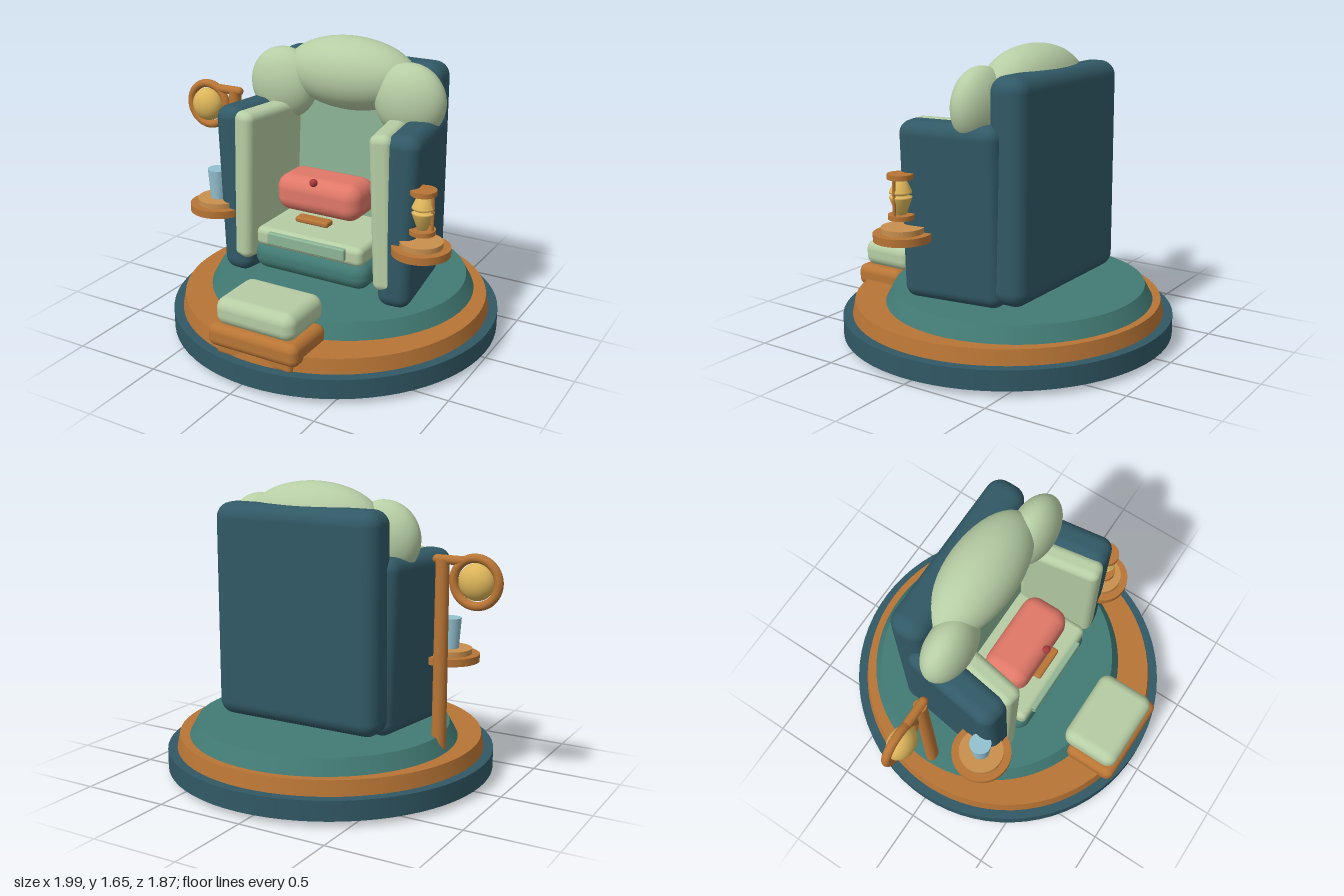
import * as THREE from 'three';
import { RoundedBoxGeometry } from 'three/addons/geometries/RoundedBoxGeometry.js';

const mat = (color) => new THREE.MeshStandardMaterial({ color });
const SHELL = mat(0x315966), TEAL = mat(0x427a74), WOOD = mat(0xb87535), PALE_WOOD = mat(0xc98f4e);
const SAGE = mat(0xb6cda4), GREEN = mat(0x8db596), RED = mat(0xe07868), DARK_RED = mat(0xa8393c);
const GOLD = mat(0xdcb55a), GLASS = mat(0x93c1d0);
const CX = 0.06; // axis of the chair and platform

export function createModel() {
  const model = new THREE.Group();
  model.name = 'armchairOnPlatform';

  const add = (name, geometry, material, x, y, z, parent = model) => {
    const mesh = new THREE.Mesh(geometry, material);
    mesh.name = name;
    mesh.position.set(x, y, z);
    parent.add(mesh);
    return mesh;
  };
  // Soft box given by its extents
  const soft = (name, material, [x0, x1], [y0, y1], [z0, z1], r, parent) =>
    add(name, new RoundedBoxGeometry(x1 - x0, y1 - y0, z1 - z0, 5, r), material,
      (x0 + x1) / 2, (y0 + y1) / 2, (z0 + z1) / 2, parent);
  // Upright disc or rod from y0 to y1
  const disc = (name, material, x, z, y0, y1, rBottom, rTop = rBottom, parent = model, sides = 40) =>
    add(name, new THREE.CylinderGeometry(rTop, rBottom, y1 - y0, sides), material, x, (y0 + y1) / 2, z, parent);
  const ellipsoid = (name, material, x, y, z, rx, ry, rz, parent) => {
    const mesh = add(name, new THREE.SphereGeometry(1, 40, 28), material, x, y, z, parent);
    mesh.scale.set(rx, ry, rz);
    return mesh;
  };
  const group = (name) => {
    const g = new THREE.Group();
    g.name = name;
    model.add(g);
    return g;
  };

  // Platform with three tiers and four feet
  const platform = group('platform');
  disc('baseTier', SHELL, CX, 0, 0.03, 0.14, 0.935, 0.935, platform, 72);
  disc('woodTier', WOOD, CX, 0, 0.14, 0.222, 0.882, 0.866, platform, 72);
  disc('upperTier', TEAL, CX, -0.08, 0.222, 0.307, 0.768, 0.722, platform, 72).scale.z = 0.97;
  for (const sx of [-1, 1]) for (const sz of [-1, 1])
    disc('foot', WOOD, CX + sx * 0.57, sz * 0.38, 0, 0.03, 0.08, 0.09, platform, 28);

  // Chair shell and upholstery
  const chair = group('armchair');
  soft('backShell', SHELL, [-0.45, 0.57], [0.33, 1.53], [-0.42, -0.2], 0.085, chair);
  soft('backCushion', GREEN, [-0.32, 0.44], [0.5, 1.4], [-0.23, -0.12], 0.03, chair);
  soft('seatBase', TEAL, [-0.3, 0.42], [0.375, 0.54], [-0.22, 0.33], 0.075, chair);
  soft('seatCushion', SAGE, [-0.275, 0.395], [0.52, 0.63], [-0.2, 0.325], 0.035, chair);
  soft('seatFrontPanel', GREEN, [-0.185, 0.3], [0.55, 0.618], [0.31, 0.345], 0.008, chair);
  for (const s of [-1, 1]) {
    const arm = add('arm', new RoundedBoxGeometry(0.19, 0.97, 0.59, 5, 0.07), SHELL, CX + s * 0.48, 0.795, 0.005, chair);
    arm.rotation.set(0, s * 0.14, s * -0.04);
    const pad = add('armPad', new RoundedBoxGeometry(0.125, 0.87, 0.46, 5, 0.045), SAGE, CX + s * 0.4, 0.838, 0.085, chair);
    pad.rotation.set(0, s * 0.17, s * 0.04);
    ellipsoid('headrestWing', SAGE, CX + s * 0.395, 1.355, -0.1, 0.207, 0.208, 0.125, chair);
  }
  ellipsoid('headrest', SAGE, CX, 1.445, -0.168, 0.4, 0.205, 0.197, chair);

  // Small pillow with button and tab
  const pillow = group('pillow');
  soft('pillowBody', RED, [-0.2, 0.32], [0.72, 0.93], [-0.02, 0.25], 0.08, pillow);
  ellipsoid('pillowButton', DARK_RED, CX, 0.927, 0.25, 0.022, 0.022, 0.022, pillow);
  soft('pillowTab', WOOD, [-0.042, 0.162], [0.69, 0.722], [0.21, 0.28], 0.012, pillow);

  // Footstool
  const stool = group('footstool');
  soft('stoolCushion', SAGE, [-0.18, 0.3], [0.295, 0.45], [0.535, 0.878], 0.06, stool);
  soft('stoolFrame', WOOD, [-0.215, 0.335], [0.175, 0.305], [0.58, 0.9], 0.045, stool);
  soft('stoolPlinth', WOOD, [-0.17, 0.29], [0.13, 0.21], [0.6, 0.872], 0.02, stool);

  // Side trays
  const trays = [['cupTray', -0.575, 0.168, 0.125], ['timerTray', 0.7, 0.157, 0.115]];
  for (const [name, x, r, rInner] of trays) {
    const tray = group(name);
    disc('trayDisc', WOOD, x, 0.235, 0.65, 0.692, r, r, tray);
    disc('trayInlay', PALE_WOOD, x, 0.235, 0.692, 0.722, rInner, rInner, tray);
  }
  disc('cup', GLASS, -0.578, 0.235, 0.722, 0.893, 0.048, 0.06);

  // Sand timer: end plates, posts and a waisted double cone
  const timer = group('sandTimer');
  timer.position.set(0.705, 0, 0.238);
  disc('lowerPlate', WOOD, 0, 0, 0.765, 0.79, 0.07, 0.07, timer);
  disc('upperPlate', WOOD, 0, 0, 0.98, 1.007, 0.07, 0.07, timer);
  for (const s of [-1, 1]) disc('post', WOOD, s * 0.054, 0, 0.785, 0.985, 0.009, 0.009, timer, 12);
  const profile = [[0, 0.785], [0.028, 0.79], [0.06, 0.878], [0.06, 0.886], [0.04, 0.89], [0.04, 0.9],
    [0.06, 0.904], [0.06, 0.912], [0.028, 0.98], [0, 0.985]].map(([r, y]) => new THREE.Vector2(r, y));
  add('timerBulbs', new THREE.LatheGeometry(profile, 32), GOLD, 0, 0, 0, timer);

  // Standing lamp with ringed globe
  const lamp = group('lamp');
  disc('lampPole', WOOD, -0.66, -0.07, 0.22, 1.27, 0.04, 0.036, lamp, 28);
  const bar = add('lampArm', new THREE.CapsuleGeometry(0.025, 0.14, 6, 20), WOOD, -0.7, 1.267, -0.07, lamp);
  bar.rotation.z = Math.PI / 2;
  add('lampRing', new THREE.TorusGeometry(0.125, 0.024, 16, 56), WOOD, -0.85, 1.162, -0.07, lamp);
  ellipsoid('lampGlobe', GOLD, -0.85, 1.162, -0.06, 0.098, 0.098, 0.073, lamp);

  return model;
}
